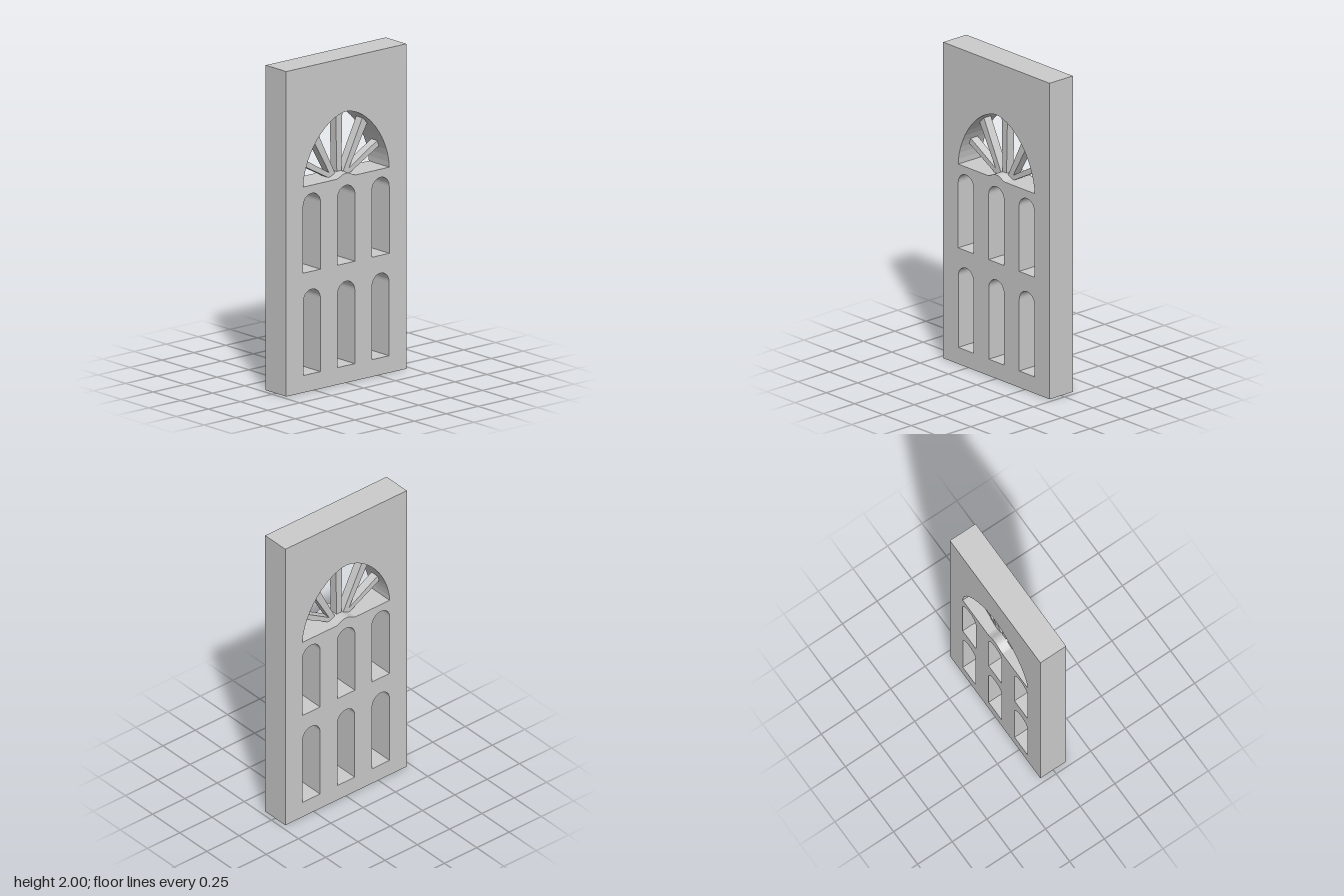
import * as THREE from 'three';

const DEPTH = 0.186, SILL = 1.265;

// Extrude a flat shape, centred on z = 0
function slab(name, shape, depth, material) {
  const geometry = new THREE.ExtrudeGeometry(shape, { depth, bevelEnabled: false, curveSegments: 10 });
  geometry.translate(0, 0, -depth / 2);
  const mesh = new THREE.Mesh(geometry, material);
  mesh.name = name;
  return mesh;
}

// Round-headed window opening
function windowHole(x, bottom, top, r) {
  const hole = new THREE.Path();
  hole.moveTo(x - r, bottom);
  hole.lineTo(x + r, bottom);
  hole.lineTo(x + r, top - r);
  hole.absarc(x, top - r, r, 0, Math.PI, false);
  hole.closePath();
  return hole;
}

// Fanlight opening: slightly pointed arch over a sill with a small raised hub
function fanlightHole() {
  const hole = new THREE.Path();
  const w = 0.337, h = 0.405, power = 2 / 1.75, steps = 28;
  hole.moveTo(-w, SILL);
  hole.lineTo(-0.075, SILL);
  hole.bezierCurveTo(-0.04, SILL + 0.008, -0.035, 1.29, 0, 1.29);
  hole.bezierCurveTo(0.035, 1.29, 0.04, SILL + 0.008, 0.075, SILL);
  for (let i = 0; i < steps; i++) {
    const a = (i / steps) * Math.PI, c = Math.cos(a);
    hole.lineTo(Math.sign(c) * w * Math.abs(c) ** power, SILL + h * Math.sin(a) ** power);
  }
  hole.closePath();
  return hole;
}

// Tapered bar from (x0, y0) to (x1, y1), run on a little into the wall
function spokeShape(x0, y0, x1, y1, w0, w1) {
  const dir = new THREE.Vector2(x1 - x0, y1 - y0).normalize();
  const side = new THREE.Vector2(-dir.y, dir.x);
  const start = new THREE.Vector2(x0, y0).addScaledVector(dir, -0.015);
  const end = new THREE.Vector2(x1, y1).addScaledVector(dir, 0.02);
  return new THREE.Shape([
    start.clone().addScaledVector(side, -w0 / 2),
    end.clone().addScaledVector(side, -w1 / 2),
    end.clone().addScaledVector(side, w1 / 2),
    start.clone().addScaledVector(side, w0 / 2),
  ]);
}

export function createModel() {
  const group = new THREE.Group();
  group.name = 'archedDoor';
  const material = new THREE.MeshStandardMaterial({ color: 0xcccccc, flatShading: true });

  // Door slab with six windows and the fanlight cut through
  const outline = new THREE.Shape([
    new THREE.Vector2(-0.47, 0), new THREE.Vector2(0.47, 0),
    new THREE.Vector2(0.47, 2), new THREE.Vector2(-0.47, 2),
  ]);
  for (const x of [-0.269, 0, 0.269]) {
    outline.holes.push(windowHole(x, 0.105, 0.625, 0.067));
    outline.holes.push(windowHole(x, 0.735, 1.215, 0.068));
  }
  outline.holes.push(fanlightHole());
  group.add(slab('doorPanel', outline, DEPTH, material));

  // Fanlight spokes, mirrored left and right of the upright one
  const spokes = new THREE.Group();
  spokes.name = 'fanlightSpokes';
  spokes.add(slab('centreSpoke', spokeShape(0, 1.285, 0, 1.67, 0.034, 0.053), 0.055, material));
  for (const s of [-1, 1]) {
    const label = s > 0 ? 'left' : 'right';
    spokes.add(slab(label + 'UpperSpoke', spokeShape(s * 0.05, 1.28, s * 0.198, 1.558, 0.034, 0.052), 0.055, material));
    spokes.add(slab(label + 'LowerSpoke', spokeShape(s * 0.07, 1.272, s * 0.304, 1.404, 0.028, 0.038), 0.055, material));
  }
  group.add(spokes);
  return group;
}
